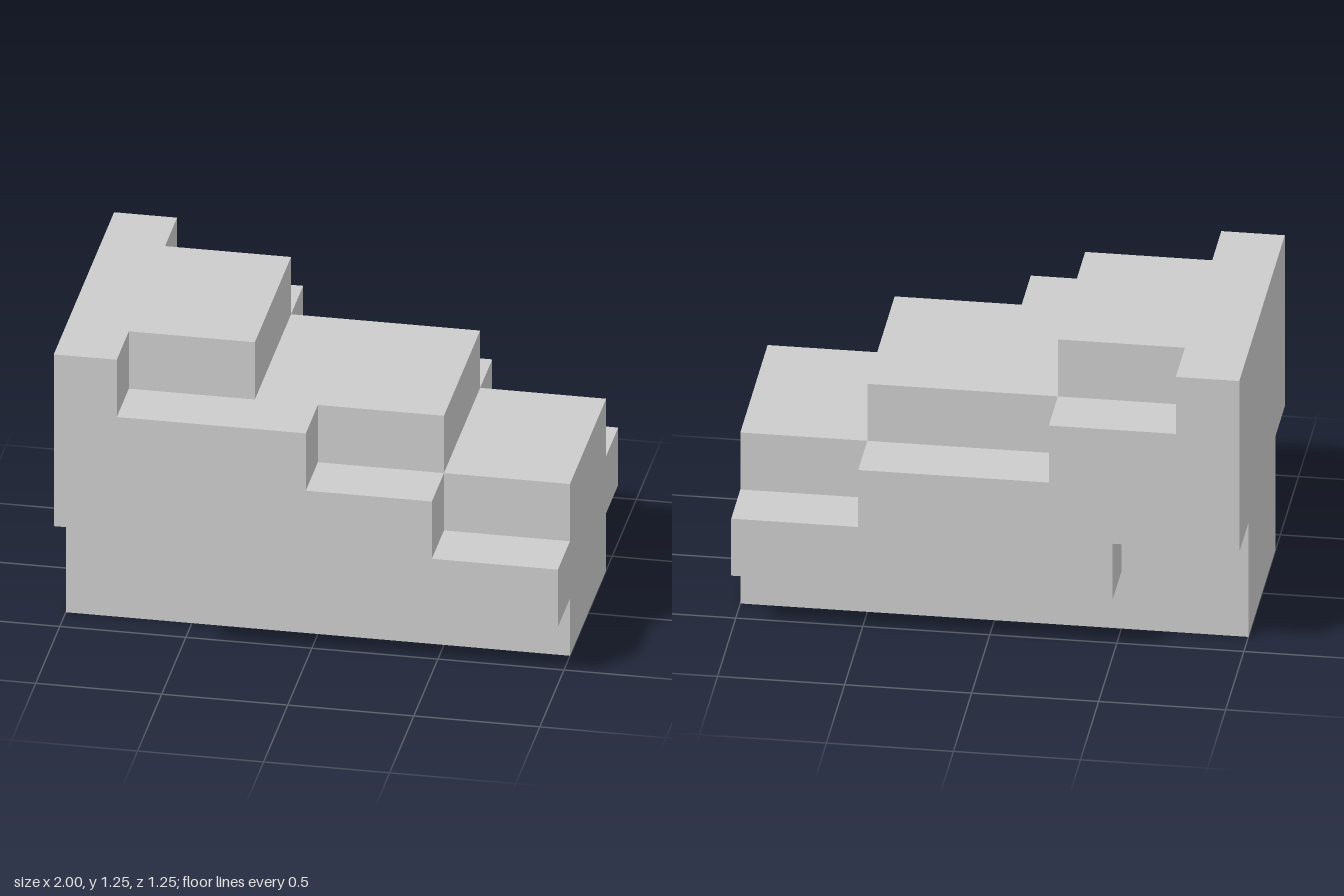
import * as THREE from 'three';

const material = new THREE.MeshStandardMaterial({ color: 0xcccccc, flatShading: true });

// Slab with a stepped side profile, spanning z0 to z1
function slab(name, points, z0, z1) {
  const shape = new THREE.Shape(points.map(([x, y]) => new THREE.Vector2(x, y)));
  const geometry = new THREE.ExtrudeGeometry(shape, { depth: z1 - z0, bevelEnabled: false });
  geometry.translate(0, 0, z0);
  const mesh = new THREE.Mesh(geometry, material);
  mesh.name = name;
  return mesh;
}

// Top outline of a descending stair, from right end to left end:
// each step is [x where it ends, height], listed from low to high
function stairTop(steps) {
  return steps.flatMap(([xLeft, y], i) => [[i ? steps[i - 1][0] : 1, y], [xLeft, y]]);
}

export function createModel() {
  const group = new THREE.Group();
  group.name = 'steppedBlock';
  const inner = 0.375, outer = 0.625;

  // Central stair, standing on the ground
  const core = [[-1, 0], [1, 0], ...stairTop([[0.5, 0.75], [-0.25, 1], [-1, 1.25]])];
  group.add(slab('centralStair', core, -inner, inner));

  // Side stairs, raised off the ground with a notch under the tall end
  const sideStair = (middleX) => [
    [-1, 0.5], [-0.5, 0.5], [-0.5, 0.25], [1, 0.25],
    ...stairTop([[0.5, 0.5], [middleX, 0.75], [-0.75, 1], [-1, 1.25]]),
  ];
  group.add(slab('frontSideStair', sideStair(0), inner, outer));
  group.add(slab('backSideStair', sideStair(-0.25), -outer, -inner));

  return group;
}
